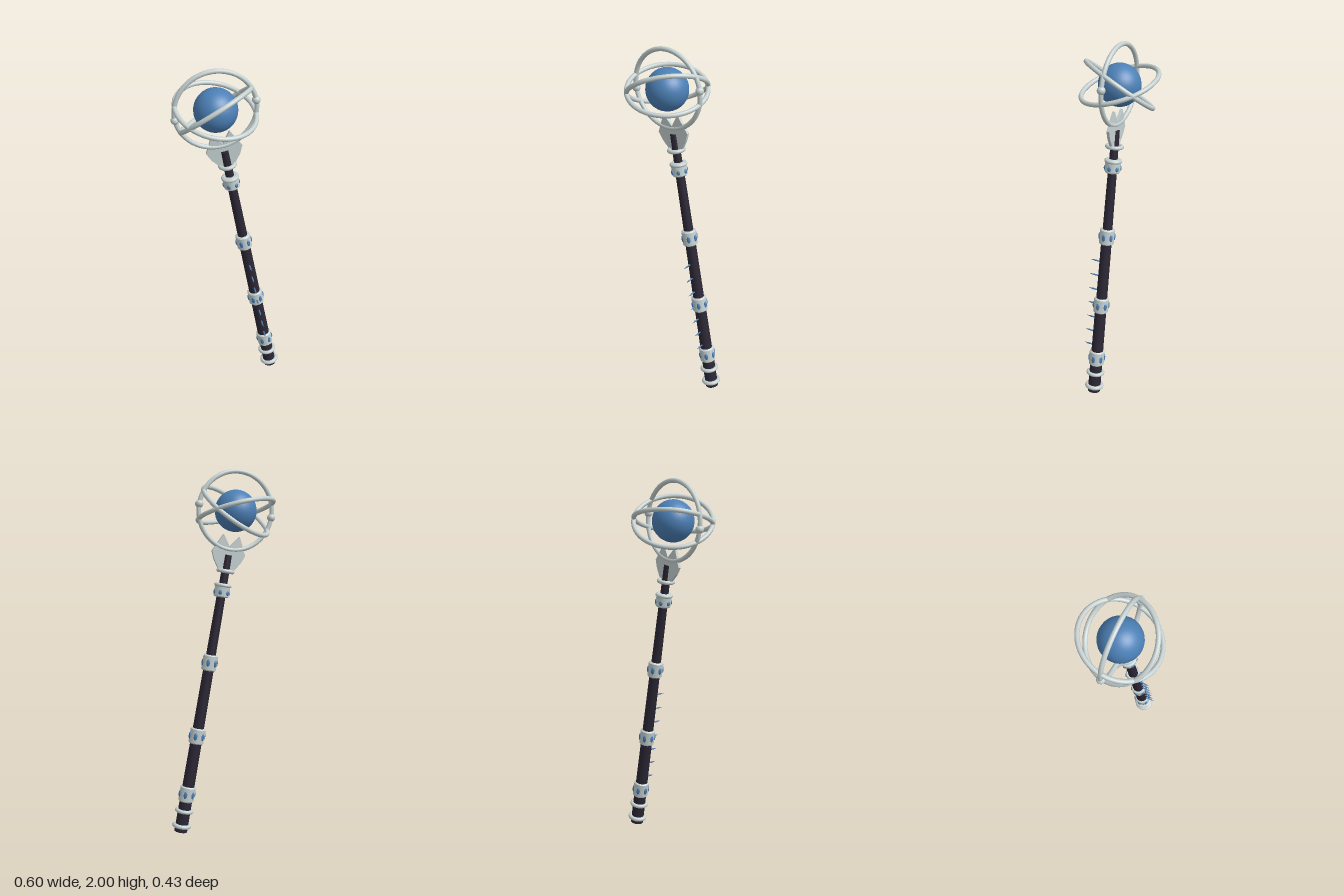
import * as THREE from 'three';

export function createModel() {
  const model = new THREE.Group();
  const mat = (name, color) => {
    const m = new THREE.MeshStandardMaterial({ color });
    m.name = name;
    return m;
  };
  const silver = mat('pale silver', 0xc6d1d1);
  const dark = mat('dark wood', 0x2b2735);
  const blue = mat('crystal blue', 0x4c80b6);

  const add = (parent, name, geometry, material, x = 0, y = 0, z = 0) => {
    const mesh = new THREE.Mesh(geometry, material);
    mesh.name = name;
    mesh.position.set(x, y, z);
    parent.add(mesh);
    return mesh;
  };

  // The whole staff is built upright, then leaned towards -x
  const staff = new THREE.Group();
  staff.name = 'staff';
  staff.position.set(0.247, 0.007, 0);
  staff.rotation.z = 0.181;
  model.add(staff);

  // Tapered shaft, slightly stepped at the bands
  const sections = [
    [0, 0.217, 0.036, 0.035],
    [0.217, 0.55, 0.034, 0.032],
    [0.55, 0.963, 0.031, 0.029],
    [0.963, 1.372, 0.027, 0.024],
    [1.372, 1.558, 0.023, 0.021],
  ];
  for (const [y0, y1, r0, r1] of sections) {
    add(staff, 'shaftSection', new THREE.CylinderGeometry(r1, r0, y1 - y0, 20), dark, 0, (y0 + y1) / 2);
  }

  // Bands with chamfered rims, each set with six oval gems
  const bands = [
    [0.217, 0.043, 0.088, 0.02],
    [0.55, 0.042, 0.088, 0.02],
    [0.963, 0.041, 0.088, 0.02],
    [1.365, 0.042, 0.076, 0.013],
  ];
  for (const [y, r, h, gemHeight] of bands) {
    const band = new THREE.Group();
    band.name = 'band';
    band.position.y = y;
    staff.add(band);
    const c = 0.006;
    add(band, 'bandBody', new THREE.CylinderGeometry(r, r, h - 2 * c, 24, 1, true), silver);
    for (const s of [1, -1]) {
      const top = s > 0 ? r - c : r;
      const bottom = s > 0 ? r : r - c;
      add(band, 'bandRim', new THREE.CylinderGeometry(top, bottom, c, 24), silver, 0, s * (h - c) / 2);
    }
    for (let i = 0; i < 6; i++) {
      const a = i * Math.PI / 3;
      const gem = add(band, 'gem', new THREE.SphereGeometry(1, 12, 8), blue,
        Math.cos(a) * r, gemHeight < 0.02 ? -0.012 : 0, Math.sin(a) * r);
      gem.scale.set(0.006, gemHeight, 0.01);
      gem.rotation.y = -a;
    }
  }

  // Rounded collars
  for (const [y, r, t] of [[0.034, 0.042, 0.012], [0.12, 0.041, 0.011], [1.392, 0.038, 0.01], [1.47, 0.039, 0.011]]) {
    add(staff, 'collar', new THREE.TorusGeometry(r, t, 12, 32), silver, 0, y).rotation.x = Math.PI / 2;
  }

  // Row of needles along the front of the grip
  const needleProfile = [[0, 0], [0.004, 0.004], [0.0045, 0.035], [0, 0.06]].map(p => new THREE.Vector2(...p));
  const needle = new THREE.LatheGeometry(needleProfile, 8);
  for (let i = 0; i < 7; i++) {
    const y = 0.29 + i * 0.086;
    add(staff, 'needle', needle, blue, 0, y, 0.026).rotation.x = Math.PI / 2;
  }

  // Flat two-pronged head plate
  const half = [[0.035, 1.465], [0.077, 1.523], [0.096, 1.567], [0.046, 1.665]];
  const outline = [
    ...half, [0, 1.602],
    ...half.slice().reverse().map(([x, y]) => [-x, y]),
  ].map(p => new THREE.Vector2(...p));
  const plate = new THREE.ExtrudeGeometry(new THREE.Shape(outline), { depth: 0.016, bevelEnabled: false });
  add(staff, 'forkPlate', plate, silver, 0, 0, -0.008);

  // Orb and the three rings around it
  const head = new THREE.Group();
  head.name = 'orbHead';
  head.position.y = 1.798;
  staff.add(head);
  add(head, 'orb', new THREE.SphereGeometry(0.113, 32, 20), blue);
  const ringGeometry = new THREE.TorusGeometry(0.21, 0.0125, 12, 64);
  const forward = new THREE.Vector3(0, 0, 1);
  for (const normal of [[0, 0, 1], [-0.36, 1, -0.478], [0.37, 1, 0.284]]) {
    const ring = add(head, 'orbitRing', ringGeometry, silver);
    ring.quaternion.setFromUnitVectors(forward, new THREE.Vector3(...normal).normalize());
  }
  for (const s of [1, -1]) {
    add(head, 'pivotBead', new THREE.SphereGeometry(0.022, 16, 12), silver, s * 0.21);
  }

  return model;
}
